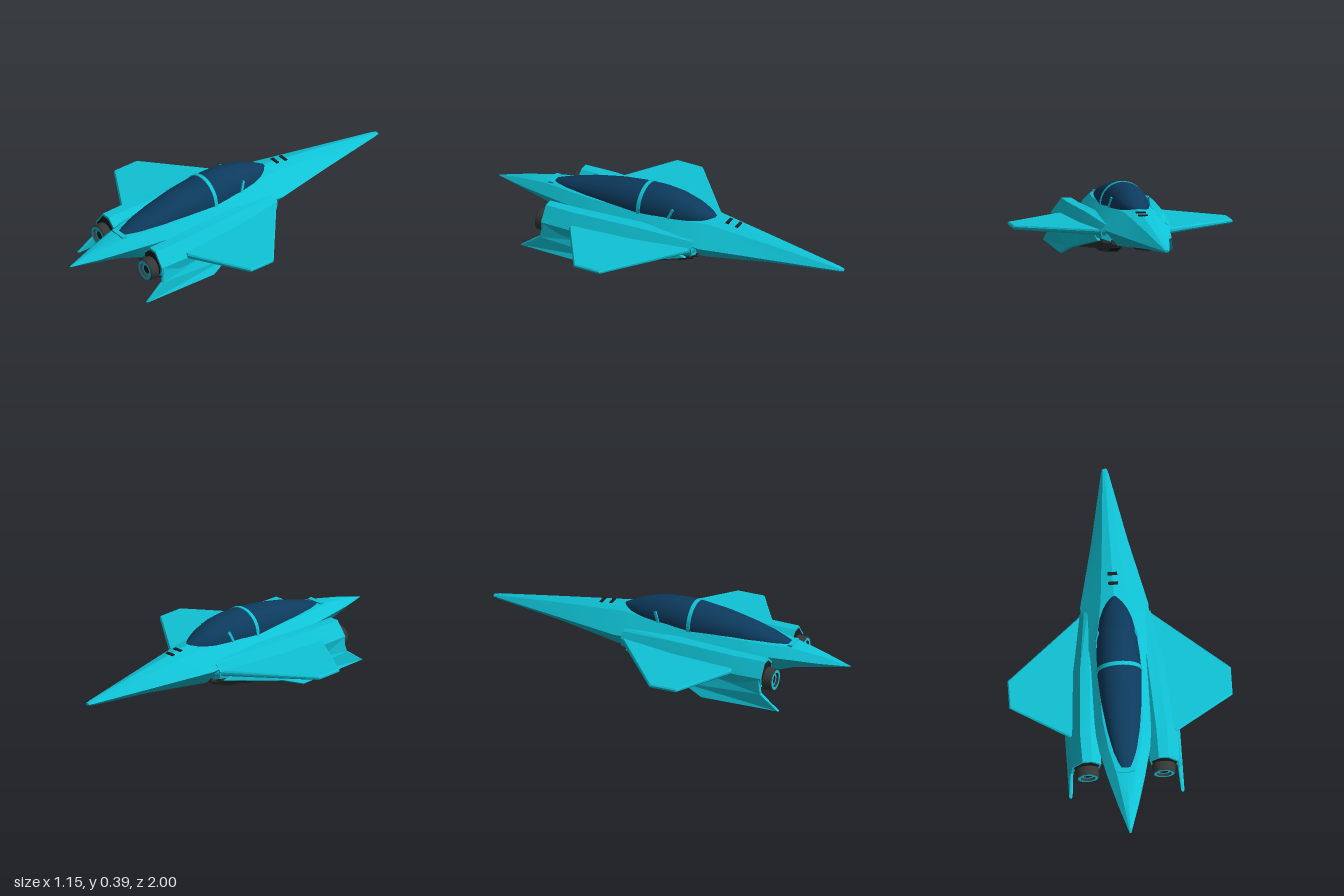
import * as THREE from 'three';
import { toCreasedNormals } from 'three/addons/utils/BufferGeometryUtils.js';

const material = (name, color, side = THREE.FrontSide) => {
  const m = new THREE.MeshStandardMaterial({ color, side });
  m.name = name;
  return m;
};

// Closed body through rings of [x, y] points, clockwise seen from +z; z increases.
function loft(sections, crease = 0.5) {
  const pos = [], idx = [], n = sections[0].pts.length;
  for (const s of sections) for (const [x, y] of s.pts) pos.push(x, y, s.z);
  for (let i = 0; i < sections.length - 1; i++) {
    for (let j = 0; j < n; j++) {
      const a = i * n + j, b = i * n + (j + 1) % n;
      idx.push(a, a + n, b, b, a + n, b + n);
    }
  }
  const e = (sections.length - 1) * n;
  for (let k = 1; k < n - 1; k++) idx.push(0, k, k + 1, e, e + k + 1, e + k);
  const g = new THREE.BufferGeometry();
  g.setAttribute('position', new THREE.Float32BufferAttribute(pos, 3));
  g.setIndex(idx);
  return toCreasedNormals(g, crease);
}

const mirrorPts = (pts) => pts.map(([x, y]) => [-x, y]).reverse();
const sided = (sections, s) => sections.map(({ z, pts }) => ({ z, pts: s > 0 ? pts : mirrorPts(pts) }));

// Symmetric body section: top, shoulder, widest edge, lower edge, bottom
const bodySection = (z, top, xa, ya, xc, yc, xb, yb, bottom) => ({
  z,
  pts: [[0, top], [xa, ya], [xc, yc], [xb, yb], [0, bottom], [-xb, yb], [-xc, yc], [-xa, ya]],
});

// Chamfered box section
const boxSection = (z, x0, x1, y0, y1, c) => ({
  z,
  pts: [[x0, y1], [x1, y1], [x1, y0 + c], [x1 - c, y0], [x0 + c, y0], [x0, y0 + c]],
});

// Canopy outline: [z, half width, top height, base height]
const canopyTable = [
  [-0.26, 0.015, 0.308, 0.29], [-0.22, 0.052, 0.328, 0.285], [-0.15, 0.083, 0.358, 0.28],
  [-0.05, 0.103, 0.386, 0.275], [0.05, 0.112, 0.394, 0.272], [0.15, 0.115, 0.389, 0.27],
  [0.3, 0.106, 0.37, 0.267], [0.45, 0.087, 0.338, 0.262], [0.57, 0.064, 0.304, 0.258], [0.67, 0.03, 0.268, 0.25],
];
function canopySection(z, grow = 0) {
  let i = 0;
  while (i < canopyTable.length - 2 && z > canopyTable[i + 1][0]) i++;
  const a = canopyTable[i], b = canopyTable[i + 1], t = (z - a[0]) / (b[0] - a[0]);
  const [w, top, base] = [1, 2, 3].map((k) => a[k] + (b[k] - a[k]) * t);
  const pts = [];
  for (let k = 0; k <= 20; k++) {
    const u = Math.PI * (1 - k / 20);
    pts.push([Math.cos(u) * (w + grow), base + Math.pow(Math.sin(u), 0.9) * (top - base + grow)]);
  }
  return { z, pts };
}

function plate(points, depth, bevel) {
  const shape = new THREE.Shape(points.map(([x, y]) => new THREE.Vector2(x, y)));
  return new THREE.ExtrudeGeometry(shape, {
    depth, bevelEnabled: true, bevelThickness: bevel, bevelSize: bevel, bevelOffset: -bevel, bevelSegments: 1,
  });
}

export function createModel() {
  const hull = material('hull cyan', 0x0fc3d6);
  const glass = material('canopy navy', 0x0d3b5e);
  const grey = material('engine grey', 0x363838);
  const dark = material('recess black', 0x1b1d1e);
  const model = new THREE.Group();
  const add = (name, geometry, mat) => {
    const mesh = new THREE.Mesh(geometry, mat);
    mesh.name = name;
    model.add(mesh);
    return mesh;
  };

  // Fuselage, pointed at both ends
  add('fuselage', loft([
    bodySection(-1, 0.2, 0.008, 0.199, 0.013, 0.194, 0.008, 0.188, 0.187),
    bodySection(-0.97, 0.206, 0.012, 0.204, 0.021, 0.194, 0.012, 0.183, 0.182),
    bodySection(-0.6, 0.262, 0.04, 0.25, 0.095, 0.194, 0.05, 0.152, 0.148),
    bodySection(-0.25, 0.308, 0.07, 0.29, 0.176, 0.2, 0.1, 0.115, 0.11),
    bodySection(0, 0.31, 0.11, 0.285, 0.18, 0.215, 0.1, 0.09, 0.085),
    bodySection(0.4, 0.29, 0.105, 0.275, 0.15, 0.22, 0.085, 0.085, 0.08),
    bodySection(0.55, 0.28, 0.085, 0.27, 0.132, 0.22, 0.07, 0.1, 0.095),
    bodySection(0.7, 0.264, 0.05, 0.257, 0.096, 0.212, 0.05, 0.15, 0.14),
    bodySection(0.85, 0.235, 0.025, 0.23, 0.053, 0.2, 0.025, 0.17, 0.165),
    bodySection(1, 0.195, 0.002, 0.194, 0.004, 0.192, 0.002, 0.19, 0.189),
  ], 0.35), hull);

  // Canopy with its frames
  const steps = Array.from({ length: 32 }, (_, i) => -0.26 + 0.93 * i / 31);
  add('canopy', loft(steps.map((z) => canopySection(z)), 0.8), glass);
  add('canopyFrame', loft([0.127, 0.147].map((z) => canopySection(z, 0.004))), hull);
  const rim = add('canopyRearRim', new THREE.BoxGeometry(0.09, 0.014, 0.025), hull);
  rim.position.set(0, 0.263, 0.68);
  for (const s of [1, -1]) {
    const stub = add('canopySideFrame', new THREE.BoxGeometry(0.008, 0.06, 0.014), hull);
    stub.position.set(s * 0.102, 0.312, -0.045);
    stub.rotation.set(-0.4, 0, s * 0.2);
  }

  // Small vents on the nose
  [[-0.39, 0.292], [-0.335, 0.299]].forEach(([z, y]) => {
    const vent = add('noseVent', new THREE.BoxGeometry(0.05, 0.006, 0.016), dark);
    vent.position.set(0, y, z);
    vent.rotation.x = -0.13;
  });

  const nacelle = [
    { z: -0.21, pts: [[0.1, 0.2], [0.14, 0.232], [0.16, 0.222], [0.185, 0.19], [0.18, 0.15], [0.1, 0.12]] },
    { z: 0.1, pts: [[0.1, 0.2], [0.15, 0.252], [0.2, 0.245], [0.245, 0.18], [0.24, 0.13], [0.11, 0.1]] },
    { z: 0.45, pts: [[0.12, 0.2], [0.17, 0.246], [0.225, 0.246], [0.28, 0.17], [0.272, 0.12], [0.14, 0.095]] },
    { z: 0.615, pts: [[0.125, 0.2], [0.172, 0.244], [0.222, 0.244], [0.278, 0.17], [0.272, 0.12], [0.14, 0.095]] },
  ];
  const rear = nacelle[3].pts.map(([x, y]) => [0.2 + (x - 0.2) * 0.84, 0.165 + (y - 0.165) * 0.84]);

  for (const s of [1, -1]) {
    // Engine housing and its dark rear face
    add('nacelle', loft(sided(nacelle, s), 0.3), hull);
    add('nacelleRecess', loft(sided([{ z: 0.61, pts: rear }, { z: 0.618, pts: rear }], s)), dark);

    // Engine nozzle with two bright rings
    const profile = [[0.058, 0], [0.06, 0.08], [0.057, 0.11], [0.052, 0.115], [0.05, 0.075], [0, 0.075]]
      .map(([x, y]) => new THREE.Vector2(x, y));
    const nozzle = toCreasedNormals(new THREE.LatheGeometry(profile, 24).rotateX(Math.PI / 2), 0.5);
    add('nozzle', nozzle, grey).position.set(s * 0.197, 0.138, 0.55);
    [[0.038, 0.053, 0.667, hull], [0.022, 0.034, 0.655, hull], [0, 0.022, 0.654, dark]].forEach(([r0, r1, z, m]) => {
      const disc = r0 ? new THREE.RingGeometry(r0, r1, 24) : new THREE.CircleGeometry(r1, 24);
      add(r0 ? 'nozzleRing' : 'nozzleCore', disc, m).position.set(s * 0.197, 0.138, z);
    });

    // Wing
    const plan = [[0.16, -0.225], [0.2, -0.19], [0.577, 0.12], [0.577, 0.268], [0.28, 0.45], [0.16, 0.45]];
    const wing = plate(plan.map(([x, z]) => [s * x, -z]), 0.008, 0.006).rotateX(-Math.PI / 2);
    const w = wing.attributes.position;
    for (let i = 0; i < w.count; i++) {
      const t = (0.577 - Math.abs(w.getX(i))) / 0.4;
      w.setY(i, 0.17 + (w.getY(i) - 0.004) * (1 + 0.5 * t) + 0.01 * t);
    }
    wing.computeVertexNormals();
    add('wing', wing, hull);

    // Panel seam on the wing
    const seam = add('wingSeam', new THREE.BoxGeometry(0.004, 0.004, 0.22), dark);
    seam.position.set(s * 0.275, 0.189, 0.14);

    // Fin, leaning outward and following the housing forward
    const fin = plate([[0.725, 0.012], [0.62, 0.09], [0.605, 0.17], [-0.1, 0.17], [-0.18, 0.135], [0.17, 0.05], [0.29, 0.004]], 0.008, 0.005);
    fin.rotateY(-Math.PI / 2).translate(0.004, 0, 0);
    const f = fin.attributes.position;
    for (let i = 0; i < f.count; i++) {
      const taper = Math.max(0, 0.3 - f.getZ(i)) * 0.18;
      f.setX(i, f.getX(i) + s * (0.291 - f.getY(i) * 0.14 - taper));
    }
    fin.computeVertexNormals();
    add('fin', fin, hull);

    // Belly pods
    add('innerPod', loft(sided([
      boxSection(-0.22, 0.07, 0.13, 0.115, 0.14, 0.01),
      boxSection(-0.08, 0.045, 0.15, 0.062, 0.14, 0.02),
      boxSection(0.08, 0.04, 0.15, 0.042, 0.14, 0.02),
      boxSection(0.25, 0.045, 0.145, 0.036, 0.14, 0.02),
      boxSection(0.45, 0.06, 0.14, 0.058, 0.14, 0.02),
      boxSection(0.58, 0.075, 0.14, 0.085, 0.14, 0.015),
    ], s)), grey);
    add('outerPod', loft(sided([
      boxSection(-0.19, 0.12, 0.17, 0.12, 0.16, 0.01),
      boxSection(-0.02, 0.14, 0.215, 0.075, 0.16, 0.02),
      boxSection(0.2, 0.155, 0.24, 0.052, 0.16, 0.02),
      boxSection(0.45, 0.16, 0.255, 0.06, 0.16, 0.02),
      boxSection(0.6, 0.15, 0.255, 0.085, 0.16, 0.02),
    ], s)), grey);

    // Dark inlet slot at the front of the pod
    const slot = add('inletSlot', new THREE.BoxGeometry(0.05, 0.006, 0.09), dark);
    slot.position.set(s * 0.1, 0.083, -0.145);
    slot.rotation.x = 0.36;
  }

  // Cross member joining the pods
  const bridge = add('bellyBridge', new THREE.BoxGeometry(0.25, 0.035, 0.16), grey);
  bridge.position.set(0, 0.092, 0.49);

  return model;
}
